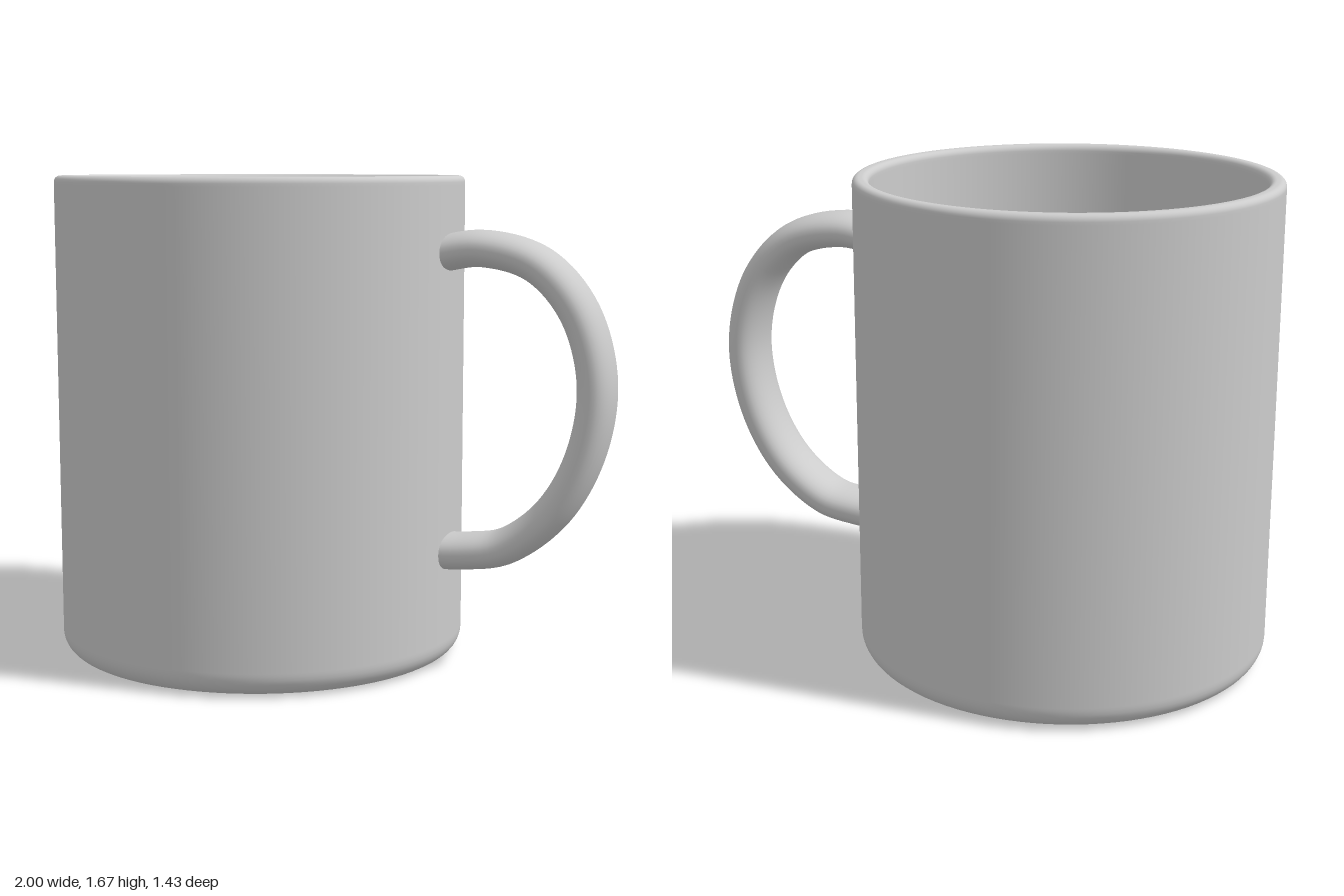
import * as THREE from 'three';

const CUP_X = -0.285, R = 0.715, INNER = 0.66, HEIGHT = 1.675, FLOOR = 0.07;

// Rounded corner of a profile, swept from angle a0 to a1 (degrees)
function corner(cx, cy, r, a0, a1, steps = 8) {
  return Array.from({ length: steps + 1 }, (_, i) => {
    const a = THREE.MathUtils.degToRad(a0 + (a1 - a0) * i / steps);
    return new THREE.Vector2(cx + r * Math.cos(a), cy + r * Math.sin(a));
  });
}

// Closed wall profile: underside, outer wall, rim, inner wall, floor
function cupGeometry() {
  const base = 0.075, rim = 0.022, inner = 0.06;
  const profile = [
    new THREE.Vector2(0, 0),
    new THREE.Vector2(R - base - 0.01, 0),
    ...corner(R - base, base, base, -90, 0),
    new THREE.Vector2(R, base + 0.01),
    new THREE.Vector2(R, HEIGHT - rim - 0.01),
    ...corner(R - rim, HEIGHT - rim, rim, 0, 90, 6),
    ...corner(INNER + rim, HEIGHT - rim, rim, 90, 180, 6),
    new THREE.Vector2(INNER, HEIGHT - rim - 0.01),
    new THREE.Vector2(INNER, FLOOR + inner + 0.01),
    ...corner(INNER - inner, FLOOR + inner, inner, 0, -90),
    new THREE.Vector2(INNER - inner - 0.01, FLOOR),
    new THREE.Vector2(0, FLOOR),
  ];
  return new THREE.LatheGeometry(profile, 96);
}

// Flattened oval section swept along a curve lying in the xy plane
function handleGeometry() {
  const path = new THREE.CatmullRomCurve3([
    [0.385, 1.415], [0.54, 1.435], [0.73, 1.385], [0.87, 1.235], [0.936, 1.0],
    [0.9, 0.755], [0.79, 0.555], [0.63, 0.43], [0.5, 0.403], [0.385, 0.395],
  ].map(([x, y]) => new THREE.Vector3(x, y, 0)), false, 'centripetal');
  const rings = 64, sides = 32, positions = [], index = [];
  const soften = v => Math.sign(v) * Math.abs(v) ** 0.88;
  for (let i = 0; i <= rings; i++) {
    const t = i / rings, p = path.getPointAt(t), d = path.getTangentAt(t);
    const halfWidth = 0.11 - 0.01 * t, halfThick = 0.062;
    for (let j = 0; j < sides; j++) {
      const a = j / sides * Math.PI * 2;
      const n = halfThick * soften(Math.cos(a));
      positions.push(p.x - d.y * n, p.y + d.x * n, halfWidth * soften(Math.sin(a)));
      if (i === rings) continue;
      const k = i * sides, j2 = (j + 1) % sides;
      index.push(k + j, k + j2, k + sides + j, k + j2, k + sides + j2, k + sides + j);
    }
  }
  const g = new THREE.BufferGeometry();
  g.setAttribute('position', new THREE.Float32BufferAttribute(positions, 3));
  g.setIndex(index);
  g.computeVertexNormals();
  return g;
}

export function createModel() {
  const ceramic = new THREE.MeshStandardMaterial({ color: 0xcccccc });
  ceramic.name = 'greyCeramic';

  const cup = new THREE.Mesh(cupGeometry(), ceramic);
  cup.name = 'cup';
  cup.position.x = CUP_X;

  const handle = new THREE.Mesh(handleGeometry(), ceramic);
  handle.name = 'handle';

  const mug = new THREE.Group();
  mug.name = 'mug';
  mug.add(cup, handle);
  return mug;
}
